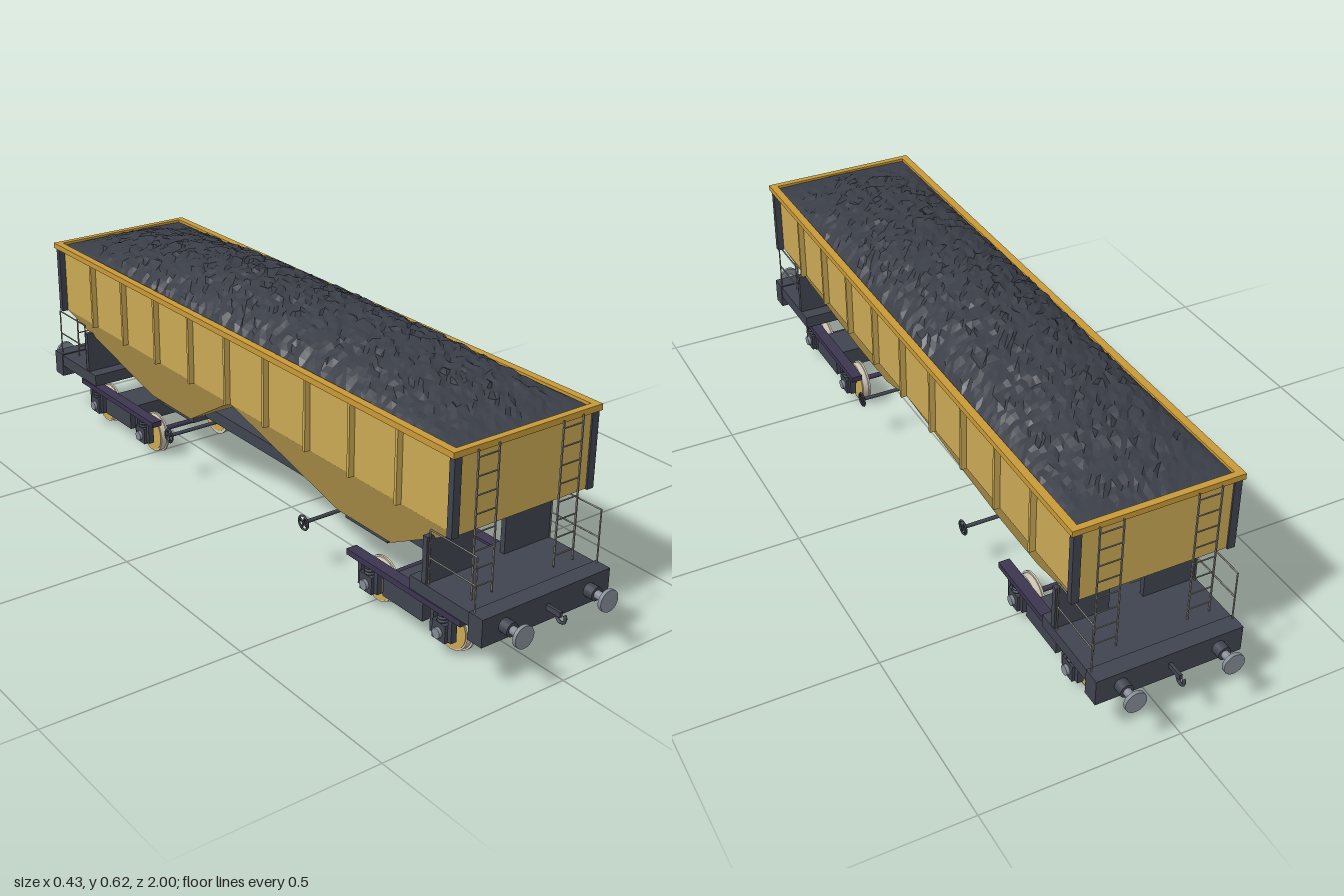
import * as THREE from 'three';

const mat = (name, color) => Object.assign(new THREE.MeshStandardMaterial({ color }), { name });

export function createModel() {
  const yellow = mat('body yellow', 0xcba955);
  const rimYellow = mat('rim yellow', 0xc99a38);
  const dark = mat('frame dark grey', 0x40444f);
  const coal = mat('coal', 0x3a3e47);
  coal.flatShading = true;
  const purple = mat('bogie purple grey', 0x3c3550);
  const steel = mat('buffer steel', 0x858c96);
  const rail = mat('handrail grey', 0x87857f);
  const cream = mat('wheel tread', 0xd2c8b4);

  const root = new THREE.Group();
  root.name = 'hopperWagon';

  const add = (name, geo, m, x = 0, y = 0, z = 0, parent = root) => {
    const mesh = new THREE.Mesh(geo, m);
    mesh.name = name;
    mesh.position.set(x, y, z);
    parent.add(mesh);
    return mesh;
  };
  // box given by its limits on each axis
  const box = (name, m, x0, x1, y0, y1, z0, z1, parent = root) =>
    add(name, new THREE.BoxGeometry(Math.abs(x1 - x0), y1 - y0, Math.abs(z1 - z0)), m,
      (x0 + x1) / 2, (y0 + y1) / 2, (z0 + z1) / 2, parent);
  // cylinder lying along x or z, or standing along y
  const cyl = (name, m, axis, r, len, x, y, z, parent = root, sides = 20) => {
    const g = new THREE.CylinderGeometry(r, r, len, sides);
    if (axis === 'x') g.rotateZ(Math.PI / 2);
    if (axis === 'z') g.rotateX(Math.PI / 2);
    return add(name, g, m, x, y, z, parent);
  };
  const sides = [-1, 1];

  // upper body
  box('body', yellow, -0.19, 0.19, 0.345, 0.535, -0.848, 0.848);
  for (const s of sides) {
    box('sideRim', rimYellow, s * 0.193, s * 0.213, 0.53, 0.545, -0.855, 0.855);
    box('endRim', rimYellow, -0.193, 0.193, 0.53, 0.545, s * 0.838, s * 0.855);
    box('rimLedge', yellow, s * 0.188, s * 0.205, 0.527, 0.534, -0.845, 0.845);
    for (let i = -4; i <= 4; i++)
      box('sideRib', yellow, s * 0.188, s * 0.205, 0.345, 0.53, i * 0.166 - 0.004, i * 0.166 + 0.004);
    for (const e of sides)
      box('cornerPost', dark, s * 0.187, s * 0.207, 0.343, 0.53, e * 0.836, e * 0.852);
  }

  // coal heap: a domed grid with seeded bumps
  const heap = new THREE.PlaneGeometry(0.39, 1.69, 26, 96).rotateX(-Math.PI / 2);
  let seed = 7;
  const rnd = () => (seed = (seed * 16807) % 2147483647) / 2147483647 - 0.5;
  const hp = heap.attributes.position;
  for (let i = 0; i < hp.count; i++) {
    const x = hp.getX(i), z = hp.getZ(i);
    const u = Math.max(0, 1 - (x / 0.195) ** 2), v = Math.max(0, 1 - (z / 0.845) ** 2);
    const f = u ** 0.7 * v ** 0.8;
    const wave = Math.sin(x * 47 + Math.sin(z * 23) * 2) * Math.sin(z * 31 + x * 19);
    const loose = Math.min(1, f * 4);
    hp.setXYZ(i, x + rnd() * 0.008 * loose,
      0.537 + 0.08 * f + (rnd() * 0.008 + wave * 0.003) * loose, z + rnd() * 0.009 * loose);
  }
  heap.computeVertexNormals();
  add('coalHeap', heap, coal);

  // two tapering hoppers below the body
  const hopper = (top, bottom) => {
    const g = new THREE.BoxGeometry(1, 1, 1);
    const p = g.attributes.position;
    for (let i = 0; i < p.count; i++) {
      const [hw, y, z0, z1] = p.getY(i) > 0 ? top : bottom;
      p.setXYZ(i, Math.sign(p.getX(i)) * hw, y, p.getZ(i) > 0 ? z1 : z0);
    }
    const flat = g.toNonIndexed();
    flat.computeVertexNormals();
    return flat;
  };
  add('frontHopper', hopper([0.19, 0.346, 0, 0.848], [0.1, 0.16, 0.33, 0.53]), yellow);
  add('backHopper', hopper([0.19, 0.346, -0.848, 0], [0.1, 0.16, -0.53, -0.33]), yellow);

  // centre beam
  box('centreBeam', dark, -0.045, 0.045, 0.148, 0.182, -0.91, 0.91);

  // wagon ends, built for the front and turned for the back
  for (const e of sides) {
    const end = new THREE.Group();
    end.name = e > 0 ? 'frontEnd' : 'backEnd';
    end.rotation.y = e > 0 ? 0 : Math.PI;
    root.add(end);
    box('deck', dark, -0.186, 0.186, 0.15, 0.183, 0.7, 0.92, end);
    box('headstock', dark, -0.188, 0.188, 0.118, 0.186, 0.895, 0.938, end);
    box('hopperOutlet', dark, -0.085, 0.085, 0.14, 0.162, 0.34, 0.5, end);
    for (const s of sides) {
      box('supportPlate', dark, s * 0.045, s * 0.185, 0.18, 0.298, 0.738, 0.752, end);
      // ladder
      for (const x of [0.092, 0.15])
        box('ladderRail', rail, s * x - 0.0015, s * x + 0.0015, 0.185, 0.538, 0.858, 0.862, end);
      for (let i = 0; i < 8; i++)
        cyl('ladderRung', rail, 'x', 0.0018, 0.058, s * 0.121, 0.213 + i * 0.0438, 0.86, end, 6);
      // side handrail
      for (const z of [0.757, 0.905])
        cyl('handrailPost', rail, 'y', 0.002, 0.137, s * 0.181, 0.25, z, end, 6);
      for (const y of [0.25, 0.318])
        cyl('handrailBar', rail, 'z', 0.002, 0.15, s * 0.181, y, 0.831, end, 6);
      // buffer
      cyl('bufferSleeve', dark, 'z', 0.017, 0.03, s * 0.125, 0.153, 0.948, end);
      cyl('bufferRod', steel, 'z', 0.01, 0.05, s * 0.125, 0.153, 0.97, end);
      cyl('bufferHead', steel, 'z', 0.027, 0.009, s * 0.125, 0.153, 0.9955, end, 28);
      // brake handwheel
      add('handwheelRim', new THREE.TorusGeometry(0.018, 0.0028, 6, 20).rotateY(Math.PI / 2),
        dark, s * 0.185, 0.142, 0.305, end);
      for (const a of [0, Math.PI / 2])
        box('handwheelSpoke', dark, s * 0.183, s * 0.187, 0.124, 0.16, 0.303, 0.307, end).rotation.x = a + 0.4;
    }
    cyl('handwheelShaft', dark, 'x', 0.005, 0.37, 0, 0.142, 0.305, end, 10);
    // coupling hook
    box('hookShank', dark, -0.004, 0.004, 0.147, 0.16, 0.93, 0.98, end);
    add('hook', new THREE.TorusGeometry(0.013, 0.004, 6, 14, 4.6).rotateZ(2.4).rotateY(Math.PI / 2),
      dark, 0, 0.148, 0.98, end);

    // bogie
    const bogie = new THREE.Group();
    bogie.name = 'bogie';
    bogie.position.z = 0.638;
    end.add(bogie);
    box('bolster', dark, -0.14, 0.14, 0.062, 0.115, -0.055, 0.055, bogie);
    cyl('pivot', dark, 'y', 0.04, 0.045, 0, 0.133, 0, bogie);
    for (const s of sides) {
      box('bogieTopRail', purple, s * 0.128, s * 0.158, 0.108, 0.123, -0.2, 0.2, bogie);
      box('bogieSideFrame', dark, s * 0.13, s * 0.152, 0.056, 0.11, -0.07, 0.07, bogie);
    }
    for (const z of [-0.129, 0.129]) {
      cyl('axle', purple, 'x', 0.007, 0.3, 0, 0.06, z, bogie, 12);
      for (const s of sides) {
        cyl('wheelTread', cream, 'x', 0.053, 0.018, s * 0.109, 0.0575, z, bogie, 32);
        cyl('wheelFlange', cream, 'x', 0.0575, 0.005, s * 0.1, 0.0575, z, bogie, 32);
        cyl('wheelDisc', yellow, 'x', 0.049, 0.023, s * 0.108, 0.0575, z, bogie, 32);
        box('axleBox', dark, s * 0.13, s * 0.156, 0.04, 0.085, z - 0.022, z + 0.022, bogie);
        cyl('axleCap', steel, 'x', 0.013, 0.012, s * 0.158, 0.06, z, bogie, 14);
        for (const d of [-0.03, 0.03]) {
          box('axleGuide', dark, s * 0.134, s * 0.15, 0.045, 0.11, z + d - 0.006, z + d + 0.006, bogie);
        }
        for (let i = 0; i < 3; i++)
          add('springCoil', new THREE.TorusGeometry(0.011, 0.0035, 6, 14).rotateX(Math.PI / 2),
            dark, s * 0.143, 0.088 + i * 0.008, z, bogie);
      }
    }
  }
  return root;
}
